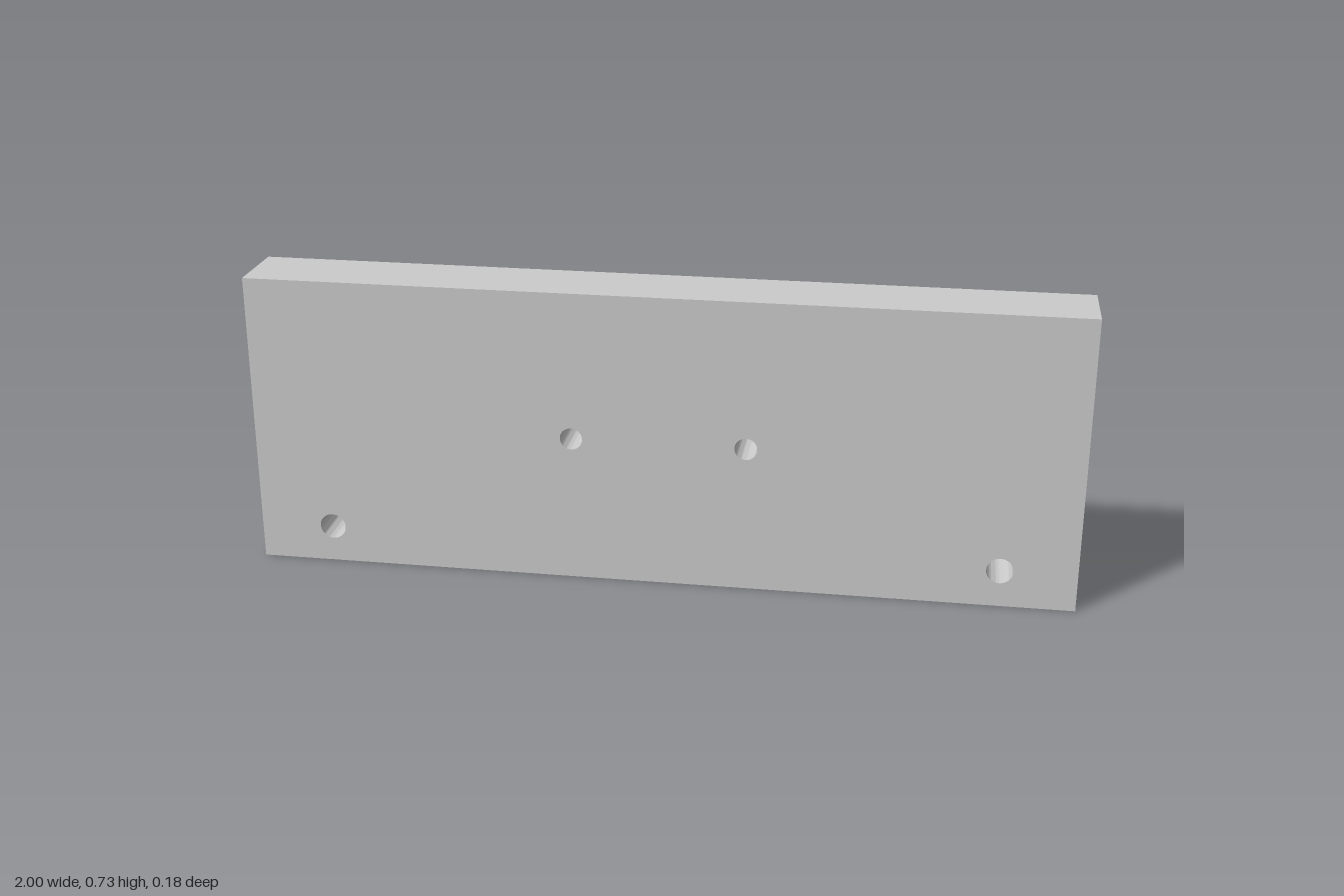
import * as THREE from 'three';
import { toCreasedNormals } from 'three/addons/utils/BufferGeometryUtils.js';

const WIDTH = 2, HEIGHT = 0.727, DEPTH = 0.18;

// Through holes, mirrored left and right: x, y, radius
const HOLES = [
  [0.21, 0.364, 0.027], // centre pair
  [0.818, 0.092, 0.032], // lower corner pair
];

export function createModel() {
  const group = new THREE.Group();
  group.name = 'drilledPlate';

  // Plate outline
  const outline = new THREE.Shape([
    new THREE.Vector2(-WIDTH / 2, 0),
    new THREE.Vector2(WIDTH / 2, 0),
    new THREE.Vector2(WIDTH / 2, HEIGHT),
    new THREE.Vector2(-WIDTH / 2, HEIGHT),
  ]);

  // Drill the holes on both sides
  for (const [x, y, radius] of HOLES) {
    for (const side of [-1, 1]) {
      outline.holes.push(new THREE.Path().absarc(side * x, y, radius, 0, Math.PI * 2, true));
    }
  }

  // Extrude, centre on z, and keep the bores smooth with sharp rims
  const geometry = new THREE.ExtrudeGeometry(outline, {
    depth: DEPTH,
    bevelEnabled: false,
    curveSegments: 32,
  });
  geometry.translate(0, 0, -DEPTH / 2);

  const plate = new THREE.Mesh(
    toCreasedNormals(geometry, Math.PI / 6),
    new THREE.MeshStandardMaterial({ color: 0xcccccc }),
  );
  plate.name = 'plate';
  group.add(plate);
  return group;
}
